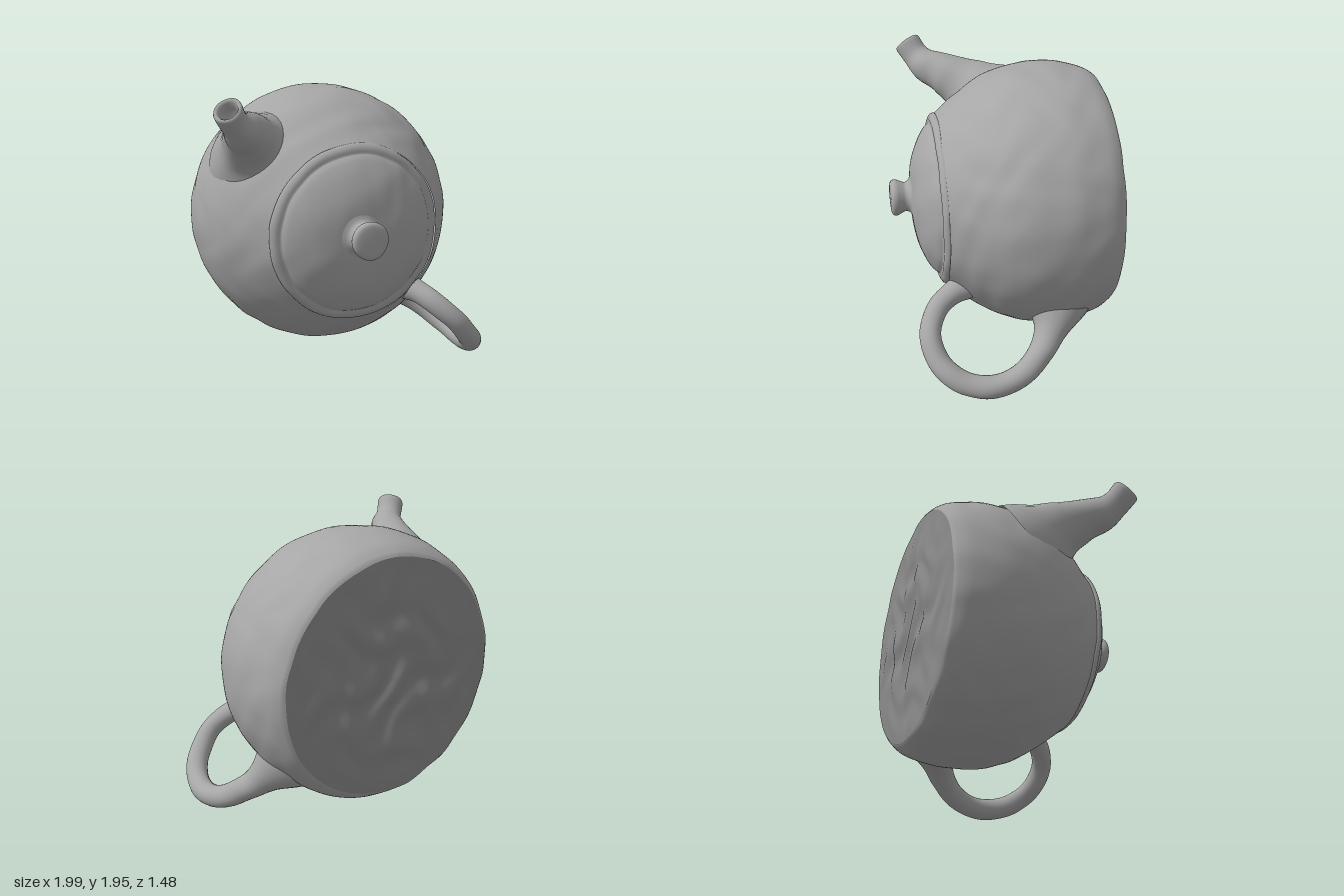
import * as THREE from 'three';
import { mergeVertices } from 'three/addons/utils/BufferGeometryUtils.js';

const V2 = (a) => a.map(([x, y]) => new THREE.Vector2(x, y));
const CENTRE = new THREE.Vector2(-0.02, 1.02);

// Hand-moulded unevenness, the same rule for every part so joints stay closed
function wobble(geo, amount) {
  const p = geo.attributes.position;
  for (let i = 0; i < p.count; i++) {
    const x = p.getX(i), y = p.getY(i), z = p.getZ(i);
    const a = Math.sin(17 * x + 8 * z + 2 * Math.sin(11 * y));
    const b = Math.sin(19 * y - 9 * x + 2 * Math.sin(13 * z));
    const c = Math.sin(23 * z + 12 * y + 2 * Math.sin(15 * x));
    p.setXYZ(i, x + amount * (a + 0.6 * c), y + amount * (b + 0.6 * a), z + 0.5 * amount * (c + b));
  }
}

// Weld the seams and shade smoothly
function smooth(geo) {
  geo.deleteAttribute('uv');
  geo.deleteAttribute('normal');
  const welded = mergeVertices(geo, 1e-4);
  welded.computeVertexNormals();
  return welded;
}

// Turned part: profile of [radius, z], spun round the front-to-back axis
function turned(profile, cx = CENTRE.x, cy = CENTRE.y, sides = 144) {
  const geo = new THREE.LatheGeometry(profile, sides);
  geo.rotateX(Math.PI / 2);
  geo.translate(cx, cy, 0);
  return geo;
}

// Tube of changing radius; stations are [x, y, z, radius], lip is [radius factor, offset along end]
function taperedTube(stations, lip = [], rings = 64, sides = 28) {
  const curve = new THREE.CatmullRomCurve3(stations.map((s) => new THREE.Vector3(s[0], s[1], s[2])));
  const radii = new THREE.SplineCurve(stations.map((s) => new THREE.Vector2(s[3], 0)));
  const frames = curve.computeFrenetFrames(rings);
  const pos = [], idx = [];
  const addRing = (c, n, b, r) => {
    for (let i = 0; i <= sides; i++) {
      const v = (i / sides) * Math.PI * 2;
      const q = c.clone().addScaledVector(n, -Math.cos(v) * r).addScaledVector(b, Math.sin(v) * r);
      pos.push(q.x, q.y, q.z);
    }
  };
  for (let j = 0; j <= rings; j++) {
    const t = curve.getUtoTmapping(j / rings);
    addRing(curve.getPoint(t), frames.normals[j], frames.binormals[j], radii.getPoint(t).x);
  }
  const endRadius = stations[stations.length - 1][3];
  for (const [k, offset] of lip) {
    const c = curve.getPoint(1).addScaledVector(frames.tangents[rings], offset);
    addRing(c, frames.normals[rings], frames.binormals[rings], endRadius * k);
  }
  for (let j = 1; j <= rings + lip.length; j++) {
    for (let i = 1; i <= sides; i++) {
      const a = (sides + 1) * (j - 1) + i - 1, b = (sides + 1) * j + i - 1;
      idx.push(a, b, a + 1, b, b + 1, a + 1);
    }
  }
  const geo = new THREE.BufferGeometry();
  geo.setAttribute('position', new THREE.Float32BufferAttribute(pos, 3));
  geo.setIndex(idx);
  return geo;
}

export function createModel() {
  const group = new THREE.Group();
  const clay = new THREE.MeshStandardMaterial({ color: 0xa6a6a6, side: THREE.DoubleSide });
  const darkClay = new THREE.MeshStandardMaterial({ color: 0x8c8c8c, side: THREE.DoubleSide });
  const add = (name, geo, bumps, material = clay) => {
    wobble(geo, bumps);
    const mesh = new THREE.Mesh(smooth(geo), material);
    mesh.name = name;
    group.add(mesh);
  };

  // Round belly, from rounded base edge to lid seat
  const belly = new THREE.SplineCurve(V2([
    [0.805, -0.70], [0.835, -0.675], [0.875, -0.6], [0.91, -0.45], [0.918, -0.32], [0.9, -0.13],
    [0.855, 0.02], [0.79, 0.14], [0.70, 0.27], [0.592, 0.405],
  ])).getPoints(72);
  add('body', turned(belly), 0.0028);

  // Uneven base, slightly bulged and dimpled
  const disc = [];
  for (let i = 0; i <= 36; i++) disc.push([0.805 * i / 36, -0.70]);
  const base = turned(V2(disc));
  const bp = base.attributes.position;
  for (let i = 0; i < bp.count; i++) {
    const x = bp.getX(i), y = bp.getY(i);
    const r = Math.hypot(x - CENTRE.x, y - CENTRE.y) / 0.805;
    const lumps = Math.sin(12 * x + 2 * Math.sin(7 * y)) * Math.sin(10 * y + 2 * Math.sin(9 * x));
    bp.setZ(i, -0.70 - Math.max(0, 1 - r * r) * (0.022 + 0.02 * lumps));
  }
  add('base', base, 0.0028, darkClay);

  // Lid with low raised rim and shallow dome
  const dome = new THREE.SplineCurve(V2([
    [0.53, 0.443], [0.495, 0.48], [0.41, 0.53], [0.30, 0.57], [0.17, 0.593], [0, 0.6],
  ])).getPoints(40).map((p) => [Math.max(0, p.x), p.y]);
  add('lid', turned(V2([
    [0, 0.37], [0.57, 0.38], [0.592, 0.39], [0.598, 0.402], [0.592, 0.42], [0.575, 0.435], [0.557, 0.442], [0.543, 0.44],
    ...dome,
  ]), -0.035, 1.022), 0.003);

  // Knob
  const knob = new THREE.SplineCurve(V2([
    [0.17, 0.585], [0.12, 0.605], [0.103, 0.635], [0.115, 0.67], [0.126, 0.70],
    [0.12, 0.727], [0.09, 0.739], [0, 0.742],
  ])).getPoints(42).map((p) => [Math.max(0, p.x), p.y]);
  add('knob', turned(V2(knob), -0.06, 1.04, 40), 0.002);

  // Spout, flared at the root, with hollow mouth
  add('spout', taperedTube([
    [-0.53, 1.48, -0.07, 0.36], [-0.64, 1.61, 0.10, 0.215], [-0.715, 1.69, 0.25, 0.152],
    [-0.795, 1.742, 0.385, 0.118], [-0.853, 1.798, 0.447, 0.095], [-0.905, 1.874, 0.5, 0.096],
  ], [[0.95, 0.012], [0.82, 0.014], [0.68, 0], [0.6, -0.04], [0.52, -0.10], [0, -0.11]]), 0.0028);

  // Looped handle, flared where it meets the belly
  add('handle', taperedTube([
    [0.40, 0.57, 0.27, 0.10], [0.46, 0.54, 0.39, 0.08], [0.535, 0.48, 0.50, 0.073], [0.66, 0.36, 0.567, 0.073],
    [0.80, 0.21, 0.515, 0.074], [0.89, 0.11, 0.37, 0.076], [0.92, 0.08, 0.17, 0.077],
    [0.885, 0.125, -0.01, 0.077], [0.80, 0.215, -0.15, 0.085], [0.70, 0.32, -0.24, 0.115], [0.56, 0.45, -0.32, 0.22],
  ], [], 90), 0.002);

  return group;
}
